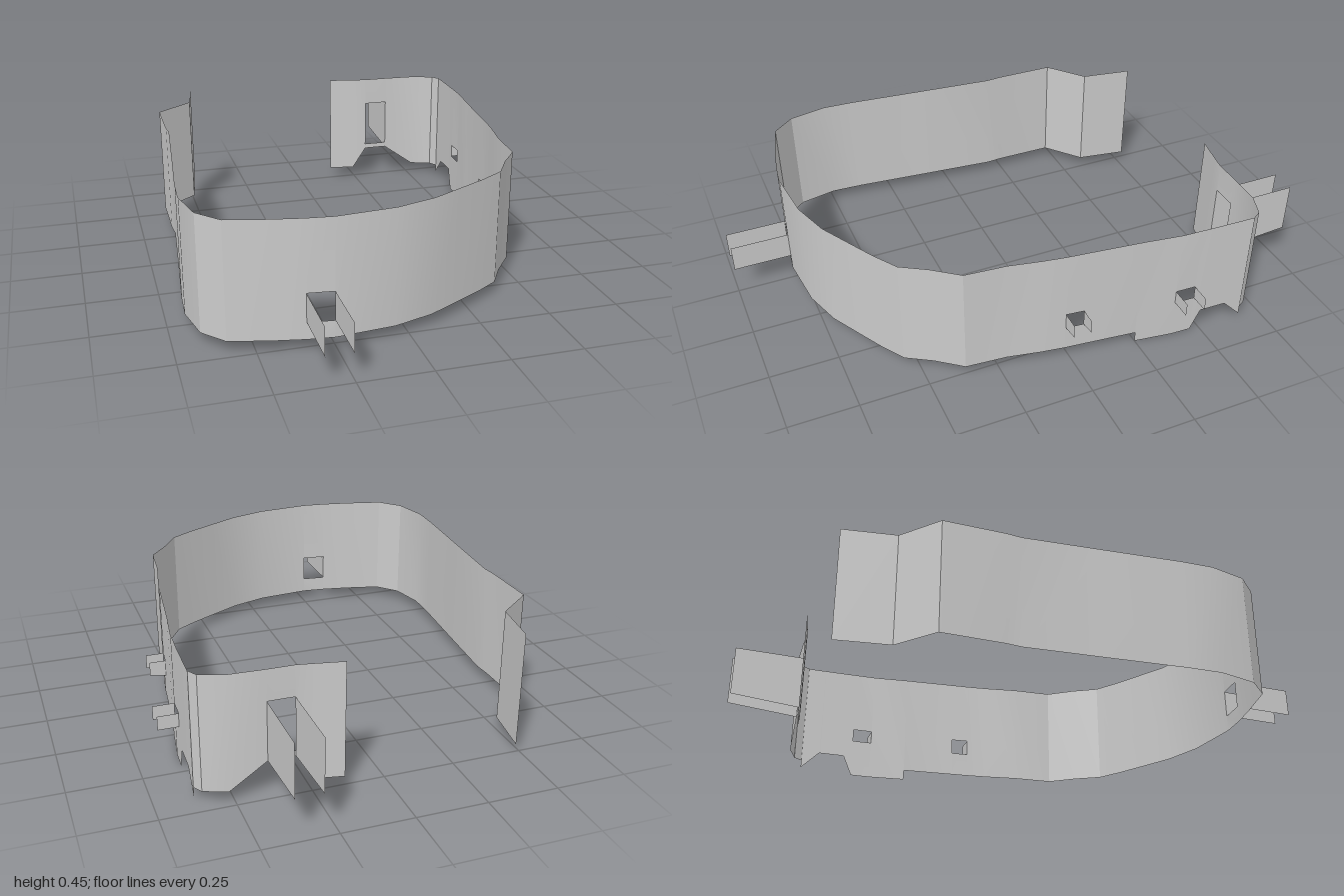
import * as THREE from 'three';
import { toCreasedNormals } from 'three/addons/utils/BufferGeometryUtils.js';

const TOP = 0.45, BASE = 0.04;

// Plan of the band, end to end: [x, z, height of the lower edge]
const plan = [
  [-0.475, -0.77], [-0.505, -0.58], [-0.64, -0.47], [-0.64, -0.25], [-0.635, -0.19],
  [-0.66, 0.1], [-0.685, 0.38], [-0.69, 0.5], [-0.66, 0.64], [-0.59, 0.72], [-0.45, 0.755],
  [-0.345, 0.775], [-0.255, 0.785], [-0.05, 0.765], [0.09, 0.72], [0.2, 0.66], [0.3, 0.605],
  [0.385, 0.55], [0.44, 0.46], [0.51, 0.37], [0.523, 0.22], [0.547, 0.1],
  [0.56, 0.015], [0.567, -0.05], [0.59, -0.249],
  // lower tabs on the side
  [0.59, -0.25, 0], [0.61, -0.39, 0], [0.613, -0.465, 0], [0.615, -0.5, 0.08], [0.618, -0.6, 0.08],
  [0.62, -0.669, 0.01], [0.618, -0.67], [0.6, -0.7], [0.52, -0.73],
  // notched back end
  [0.393, -0.735, 0.13], [0.3, -0.735, 0.13], [0.245, -0.745], [0.144, -0.765],
];

// Windows: x, z where each starts in the plan, opening heights, and where the flaps reach
const windows = [
  { name: 'front', at: [-0.345, 0.775], lo: 0.1, hi: 0.2, reach: { z: 1 }, inLo: 0.1, outLo: 0.1 },
  { name: 'sideMiddle', at: [0.56, 0.015], lo: 0.135, hi: 0.195, reach: { x: 0.625 }, inLo: 0.135, outLo: 0.145 },
  { name: 'sideRear', at: [0.61, -0.39], lo: 0.15, hi: 0.2, reach: { x: 0.685 }, inLo: 0.15, outLo: 0.15 },
  { name: 'back', at: [0.393, -0.735], lo: 0.15, hi: 0.34, reach: { z: -1 }, inLo: 0.13, outLo: 0.15 },
];

// Geometry from a list of four-cornered panels
function panels(quads) {
  const pos = [];
  for (const [a, b, c, d] of quads) pos.push(...a, ...b, ...c, ...a, ...c, ...d);
  const g = new THREE.BufferGeometry();
  g.setAttribute('position', new THREE.Float32BufferAttribute(pos, 3));
  g.computeVertexNormals();
  return g;
}

export function createModel() {
  const group = new THREE.Group();
  const material = new THREE.MeshStandardMaterial({ color: 0xcccccc, side: THREE.DoubleSide });
  const add = (name, geometry) => {
    const mesh = new THREE.Mesh(geometry, material);
    mesh.name = name;
    group.add(mesh);
  };
  const windowAt = ([x, z]) => windows.find((w) => w.at[0] === x && w.at[1] === z);

  // Upright band, leaving the windows open
  const wall = [];
  for (let i = 0; i < plan.length - 1; i++) {
    const [x0, z0, b0 = BASE] = plan[i];
    const [x1, z1, b1 = BASE] = plan[i + 1];
    const strip = (l0, l1, h) => wall.push([[x0, l0, z0], [x1, l1, z1], [x1, h, z1], [x0, h, z0]]);
    const w = windowAt(plan[i]);
    if (w) {
      strip(b0, b1, w.lo);
      strip(w.hi, w.hi, TOP);

      // Pair of flaps standing out from the sides of the window
      const flaps = [[x0, z0], [x1, z1]].map(([x, z]) => {
        const ox = w.reach.x ?? x, oz = w.reach.z ?? z;
        return [[x, w.inLo, z], [ox, w.outLo, oz], [ox, w.hi, oz], [x, w.hi, z]];
      });
      add(`${w.name}WindowFlaps`, panels(flaps));
    } else {
      strip(b0, b1, TOP);
    }
  }
  add('band', toCreasedNormals(panels(wall), 0.35));

  return group;
}
